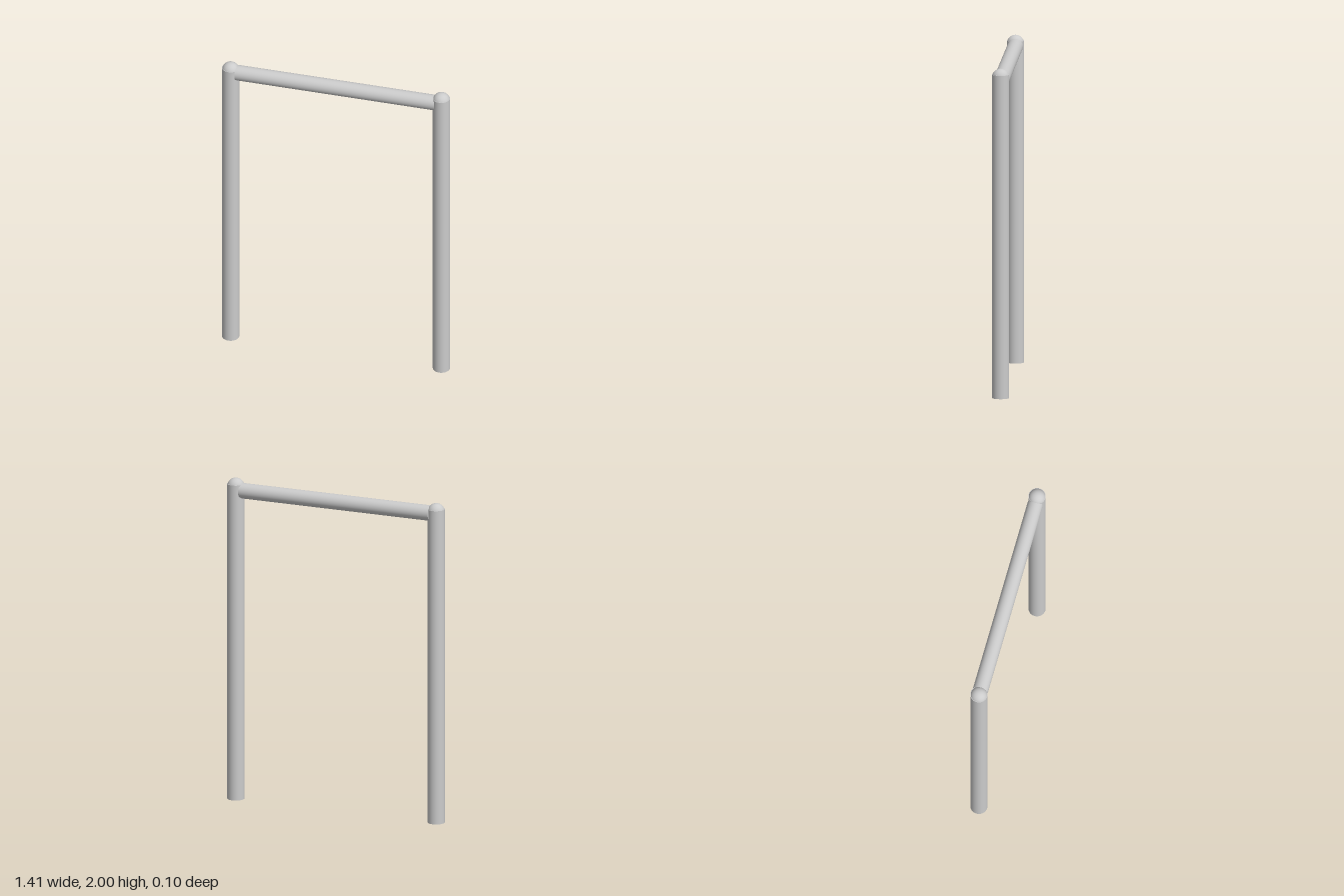
import * as THREE from 'three';

export function createModel() {
  const model = new THREE.Group();
  const material = new THREE.MeshStandardMaterial({ color: 0xcccccc });
  const radius = 0.052;

  function add(parent, name, geometry, x, y, z = 0) {
    const mesh = new THREE.Mesh(geometry, material);
    mesh.name = name;
    mesh.position.set(x, y, z);
    parent.add(mesh);
    return mesh;
  }

  // Upright post with a ball set into its top end
  function addPost(name, x, top) {
    const post = new THREE.Group();
    post.name = name;
    const height = top - 0.035;
    add(post, 'postShaft', new THREE.CylinderGeometry(radius, radius, height, 32), x, height / 2);
    const dome = new THREE.SphereGeometry(radius, 32, 12, 0, Math.PI * 2, 0, Math.PI / 2);
    add(post, 'postCap', dome, x, top - radius);
    model.add(post);
  }

  // The right post is slightly shorter than the left one
  addPost('leftPost', 0.653, 2.0);
  addPost('rightPost', -0.655, 1.99);

  // Crossbar, its flat ends sunk into the posts
  const bar = add(model, 'crossbar', new THREE.CylinderGeometry(0.047, 0.047, 1.238, 32), -0.001, 1.925, -0.001);
  bar.rotation.z = Math.PI / 2;

  return model;
}
